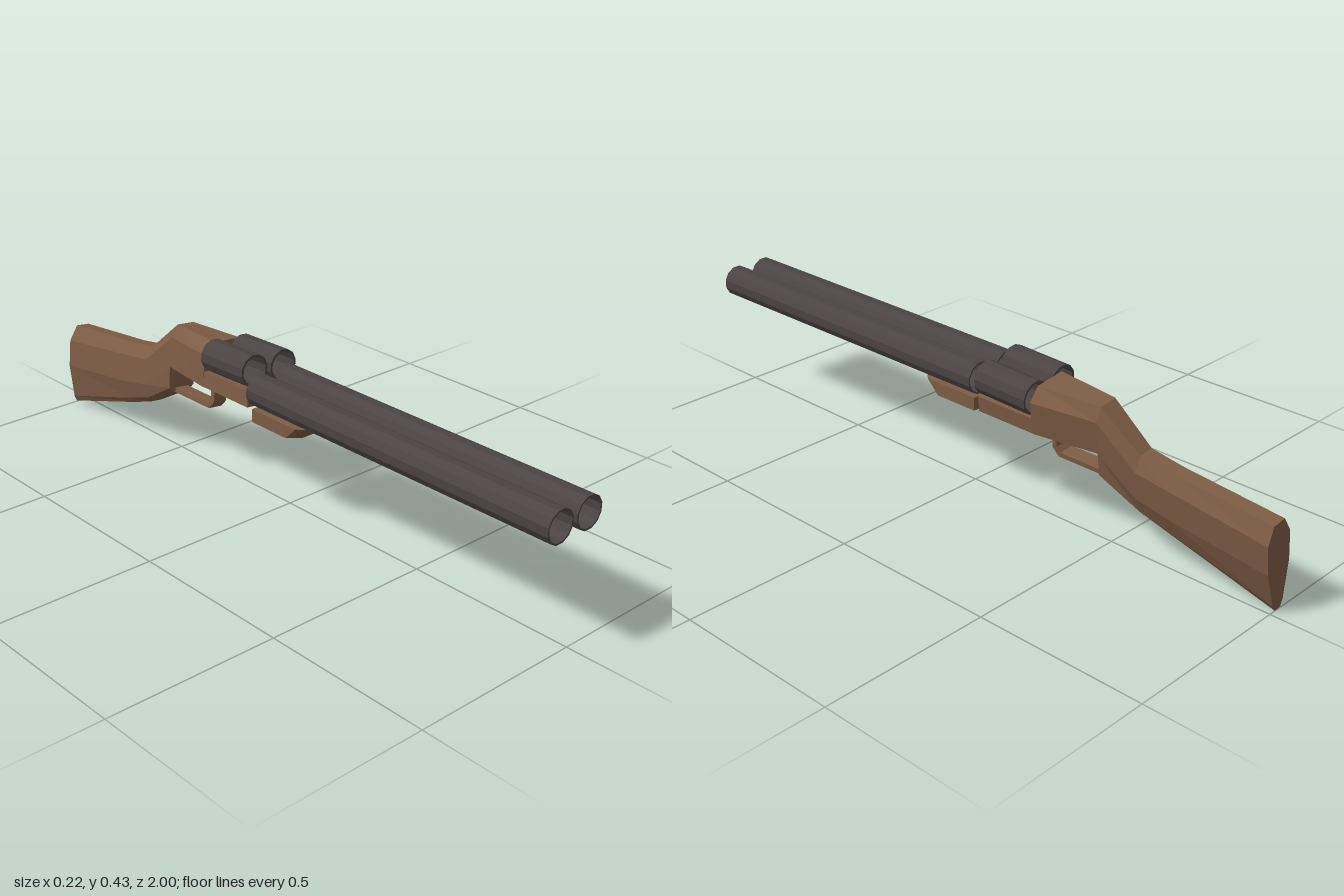
import * as THREE from 'three';

const wood = new THREE.MeshStandardMaterial({ name: 'walnut wood', color: 0x7d5c44, flatShading: true });
const metal = new THREE.MeshStandardMaterial({ name: 'gunmetal', color: 0x4b4344, flatShading: true });

function part(name, geometry, material, parent) {
  const mesh = new THREE.Mesh(geometry, material);
  mesh.name = name;
  parent.add(mesh);
  return mesh;
}

// Skin over a series of convex rings, counterclockwise seen from the last ring's side
function loft(rings) {
  const n = rings[0].length, index = [];
  for (let r = 0; r < rings.length - 1; r++) {
    for (let i = 0; i < n; i++) {
      const a = r * n + i, b = r * n + (i + 1) % n;
      index.push(a, b, b + n, a, b + n, a + n);
    }
  }
  const last = (rings.length - 1) * n;
  for (let i = 1; i < n - 1; i++) {
    index.push(0, i + 1, i, last, last + i, last + i + 1);
  }
  const g = new THREE.BufferGeometry();
  g.setAttribute('position', new THREE.Float32BufferAttribute(rings.flat(2), 3));
  g.setIndex(index);
  const flat = g.toNonIndexed();
  flat.computeVertexNormals();
  return flat;
}

// Mirrors a half outline [halfWidth, y], listed bottom to top, into a ring at z
function mirrorRing(z, half) {
  const right = half.map(([w, y]) => [w, y, z]);
  const left = half.map(([w, y]) => [-w, y, z]).reverse();
  return [...right, ...left];
}

// Open twelve-sided pipe along z
function pipe(outer, inner, length) {
  const h = length / 2;
  const profile = [[outer, -h], [outer, h], [inner, h], [inner, -h], [outer, -h]]
    .map(([x, y]) => new THREE.Vector2(x, y));
  return new THREE.LatheGeometry(profile, 12, Math.PI / 12).rotateX(Math.PI / 2);
}

export function createModel() {
  const model = new THREE.Group();
  model.name = 'doubleBarrelGun';

  // Barrels
  for (const [name, x] of [['rightBarrel', -0.062], ['leftBarrel', 0.043]]) {
    part(name, pipe(0.047, 0.042, 1.06), metal, model).position.set(x, 0.354, 0.47);
  }

  // Fore-end under the barrels, with clipped front corners and a sloping nose
  const foreRing = (y, nose, shoulder) => [
    [-0.088, y, -0.06], [-0.088, y, shoulder], [-0.052, y, nose],
    [0.032, y, nose], [0.068, y, shoulder], [0.068, y, -0.06],
  ];
  part('foreEnd', loft([foreRing(0.263, 0.11, 0.08), foreRing(0.302, 0.16, 0.12)]), wood, model);

  // Rear half, leaning to one side
  const rear = new THREE.Group();
  rear.name = 'rearHalf';
  rear.position.set(-0.033, 0, 0);
  rear.rotation.z = -0.115;
  model.add(rear);

  // Butt stock and wrist
  part('stock', loft([
    mirrorRing(-1, [[0.011, 0.004], [0.021, 0.022], [0.045, 0.13], [0.046, 0.215], [0.022, 0.262]]),
    mirrorRing(-0.7, [[0.016, 0.096], [0.028, 0.112], [0.046, 0.17], [0.046, 0.255], [0.022, 0.292]]),
    mirrorRing(-0.6, [[0.02, 0.13], [0.034, 0.145], [0.047, 0.19], [0.047, 0.27], [0.023, 0.308]]),
    mirrorRing(-0.48, [[0.03, 0.2], [0.046, 0.215], [0.049, 0.28], [0.049, 0.375], [0.029, 0.412]]),
  ]), wood, rear);

  // Receiver body, widening forward
  part('receiver', loft([
    mirrorRing(-0.48, [[0.049, 0.283], [0.049, 0.375], [0.029, 0.412]]),
    mirrorRing(-0.285, [[0.08, 0.286], [0.083, 0.382], [0.047, 0.417]]),
  ]), wood, rear);

  // Bed below the chambers
  part('chamberBed', new THREE.BoxGeometry(0.16, 0.046, 0.2), wood, rear)
    .position.set(0, 0.31, -0.19);

  // Chambers, slightly raised at the front
  for (const [name, x] of [['rightChamber', -0.053], ['leftChamber', 0.053]]) {
    const chamber = part(name, pipe(0.048, 0.041, 0.178), metal, rear);
    chamber.position.set(x, 0.384, -0.19);
    chamber.rotation.x = -0.03;
  }

  // Trigger guard: bent strap, drawn in (-z, y) and extruded across
  const guard = new THREE.Shape([
    [0.3, 0.29], [0.3, 0.222], [0.32, 0.2], [0.49, 0.2], [0.49, 0.214],
    [0.327, 0.214], [0.315, 0.228], [0.315, 0.29],
  ].map(([x, y]) => new THREE.Vector2(x, y)));
  const guardGeometry = new THREE.ExtrudeGeometry(guard, { depth: 0.046, bevelEnabled: false })
    .translate(0, 0, -0.023).rotateY(Math.PI / 2);
  part('triggerGuard', guardGeometry, wood, rear);

  return model;
}
